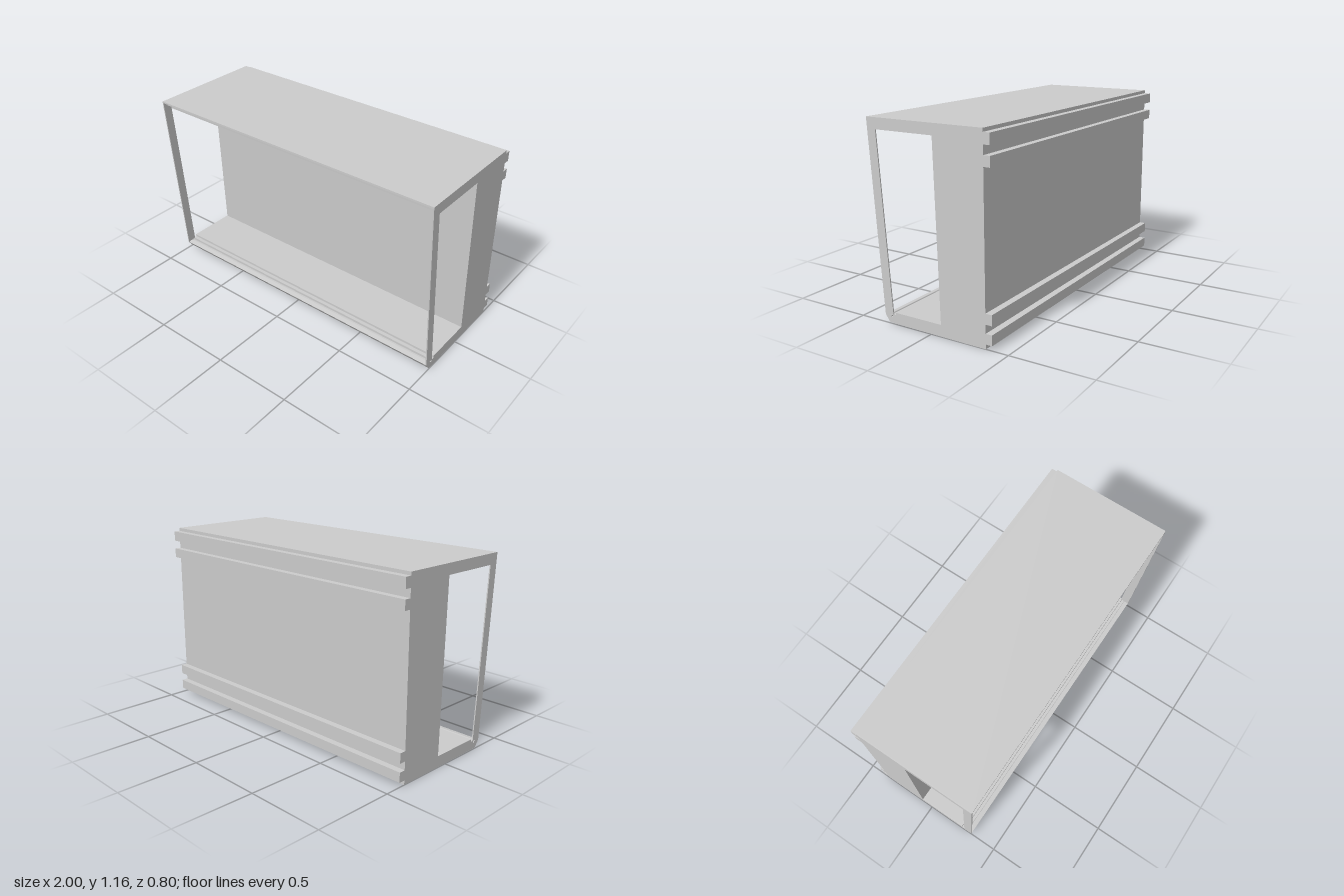
import * as THREE from 'three';

const material = new THREE.MeshStandardMaterial({ color: 0xcccccc, flatShading: true });
const toPoints = (list) => list.map(([z, y]) => new THREE.Vector2(z, y));

// Extrudes a (z, y) profile along x, centred on the given x.
function extrudeAlongX(name, outline, width, x = 0, holes = []) {
  const shape = new THREE.Shape(toPoints(outline));
  holes.forEach((h) => shape.holes.push(new THREE.Path(toPoints(h))));
  const geometry = new THREE.ExtrudeGeometry(shape, { depth: width, bevelEnabled: false });
  geometry.translate(0, 0, -width / 2);
  geometry.rotateY(-Math.PI / 2);
  const mesh = new THREE.Mesh(geometry, material);
  mesh.name = name;
  mesh.position.x = x;
  return mesh;
}

export function createModel() {
  const group = new THREE.Group();
  group.name = 'openFrontHousing';
  const capWidth = 0.007;
  const back = -0.36;

  // Outer edge along the underside, shared by housing and end frames
  const underside = [[back, 0], [-0.23, 0], [0.25, 0.004], [0.295, 0.006], [0.325, 0.048]];

  // C-shaped housing: floor, thick back and top, with stepped panel grooves at the front
  group.add(extrudeAlongX('housing', [
    ...underside,
    [0.295, 0.053], [0.292, 0.047], [0.283, 0.047], [0.283, 0.04], [0.272, 0.04], [0.272, 0.055],
    [0.25, 0.055], [0.25, 0.07], [-0.068, 0.07],
    [-0.043, 1.1], [0.34, 1.1], [0.342, 1.13], [0.37, 1.13], [0.371, 1.155],
    [0.4, 1.155], [0.4, 1.165], [back, 1.165],
  ], 2 - 2 * capWidth));

  // Thin end frames with a large window and a small groove hole
  const frame = [...underside, [0.4, 1.155], [0.4, 1.165], [back, 1.165]];
  const windowHole = [
    [-0.068, 0.07], [-0.043, 1.1], [0.34, 1.1], [0.268, 0.055], [0.25, 0.055], [0.25, 0.07],
  ];
  const grooveHole = [[0.293, 0.053], [0.272, 0.053], [0.272, 0.04], [0.283, 0.04], [0.283, 0.047]];
  for (const [name, side] of [['leftEndFrame', 1], ['rightEndFrame', -1]]) {
    group.add(extrudeAlongX(name, frame, capWidth, side * (1 - capWidth / 2), [windowHole, grooveHole]));
  }

  // Mounting rails across the back
  [[0.027, 0.087], [0.138, 0.199], [0.971, 1.03], [1.083, 1.145]].forEach(([y0, y1], i) => {
    const rail = new THREE.Mesh(new THREE.BoxGeometry(2, y1 - y0, 0.04), material);
    rail.name = `backRail${i + 1}`;
    rail.position.set(0, (y0 + y1) / 2, back - 0.02);
    group.add(rail);
  });

  return group;
}
